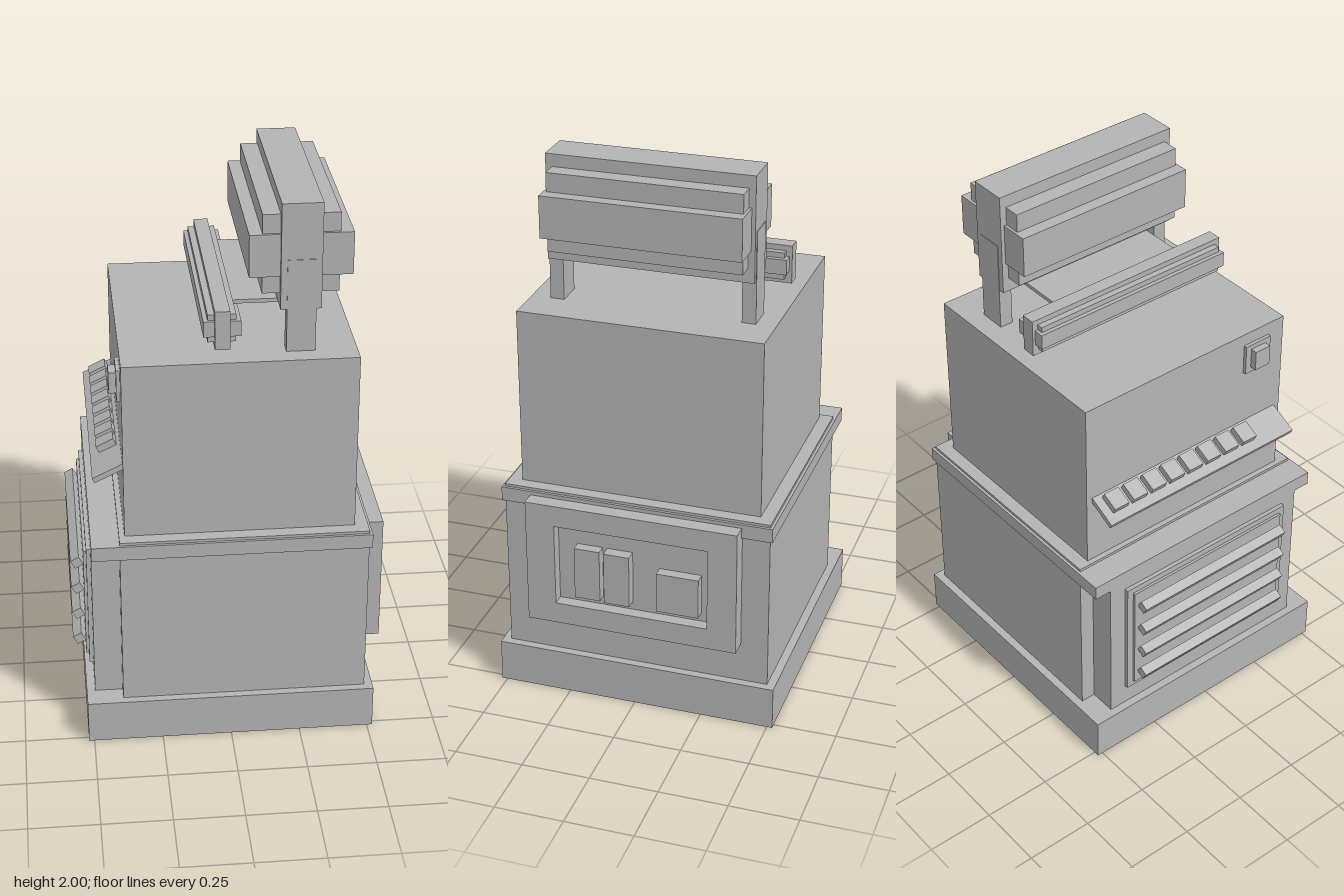
import * as THREE from 'three';

export function createModel() {
  const model = new THREE.Group();
  model.name = 'machineCabinet';
  const grey = new THREE.MeshStandardMaterial({ color: 0xb3b3b3 });
  grey.name = 'plain grey';

  // Box given by its limits on each axis
  const box = (name, x0, x1, y0, y1, z0, z1, parent = model) => {
    const mesh = new THREE.Mesh(new THREE.BoxGeometry(x1 - x0, y1 - y0, z1 - z0), grey);
    mesh.position.set((x0 + x1) / 2, (y0 + y1) / 2, (z0 + z1) / 2);
    mesh.name = name;
    parent.add(mesh);
    return mesh;
  };

  // Cabinet
  box('plinth', -0.52, 0.52, 0, 0.16, -0.52, 0.52);
  box('lowerCabinet', -0.39, 0.49, 0.16, 0.81, -0.49, 0.49);
  box('lowerFascia', -0.49, -0.39, 0.16, 0.75, -0.435, 0.435);
  box('rimSlab', -0.49, 0.5, 0.747, 0.8, -0.5, 0.5);
  box('upperCabinet', -0.37, 0.443, 0.81, 1.465, -0.442, 0.442);

  // Vent with tilted slats
  box('ventPlate', -0.505, -0.49, 0.243, 0.72, -0.37, 0.37);
  box('ventInnerPlate', -0.515, -0.505, 0.267, 0.697, -0.345, 0.345);
  for (const y of [0.32, 0.428, 0.535, 0.642]) {
    const slat = box('ventSlat', -0.555, -0.52, y - 0.0175, y + 0.0175, -0.33, 0.33);
    slat.rotation.z = 0.52;
  }

  // Sloping keyboard
  const keyboard = new THREE.Group();
  keyboard.name = 'keyboard';
  keyboard.position.set(-0.409, 1.054, 0);
  keyboard.rotation.z = 0.455;
  model.add(keyboard);
  box('keyShelf', -0.07, 0.07, -0.01, 0.01, -0.418, 0.418, keyboard);
  for (let i = 0; i < 8; i++) {
    const z = -0.354 + i * 0.0835;
    box('key', -0.034, 0.034, 0.01, 0.036, z - 0.031, z + 0.031, keyboard);
  }

  // Switch above the keyboard
  box('switchPlate', -0.383, -0.37, 1.302, 1.418, 0.26, 0.372);
  box('switchButton', -0.408, -0.383, 1.323, 1.4, 0.283, 0.348);

  // Framed control panel on the left side
  const rect = (target, x, y) => {
    target.moveTo(-x, -y);
    target.lineTo(x, -y);
    target.lineTo(x, y);
    target.lineTo(-x, y);
    target.closePath();
    return target;
  };
  const outline = rect(new THREE.Shape(), 0.39, 0.238);
  outline.holes.push(rect(new THREE.Path(), 0.283, 0.157));
  const frame = new THREE.Mesh(
    new THREE.ExtrudeGeometry(outline, { depth: 0.065, bevelEnabled: false }), grey);
  frame.rotation.y = Math.PI / 2;
  frame.position.set(0.49, 0.548, 0);
  frame.name = 'panelFrame';
  model.add(frame);
  box('panelFloor', 0.49, 0.51, 0.391, 0.705, -0.283, 0.283);
  box('panelButton', 0.51, 0.548, 0.425, 0.625, 0.117, 0.212);
  box('panelButton', 0.51, 0.553, 0.425, 0.625, 0.005, 0.1);
  box('panelSocket', 0.51, 0.55, 0.425, 0.578, -0.25, -0.095);

  // Large stepped roller on two posts
  for (const s of [-1, 1]) {
    const post = box('rollerPost', 0.198, 0.298, 1.465, 1.8, -0.025, 0.025);
    post.position.z = s * 0.346;
  }
  box('rollerTall', 0.176, 0.316, 1.62, 2, -0.369, 0.369);
  box('rollerMiddle', 0.115, 0.378, 1.672, 1.955, -0.345, 0.345);
  box('rollerWide', 0.07, 0.423, 1.735, 1.887, -0.355, 0.355);

  // Small stepped roller held by a thin plate
  box('smallRollerTall', -0.05, 0.002, 1.502, 1.642, -0.415, 0.415);
  box('smallRollerMiddle', -0.073, 0.024, 1.522, 1.622, -0.393, 0.393);
  box('smallRollerWide', -0.088, 0.04, 1.546, 1.602, -0.405, 0.405);
  box('linkPlate', 0, 0.24, 1.604, 1.618, -0.268, 0.268);

  return model;
}
